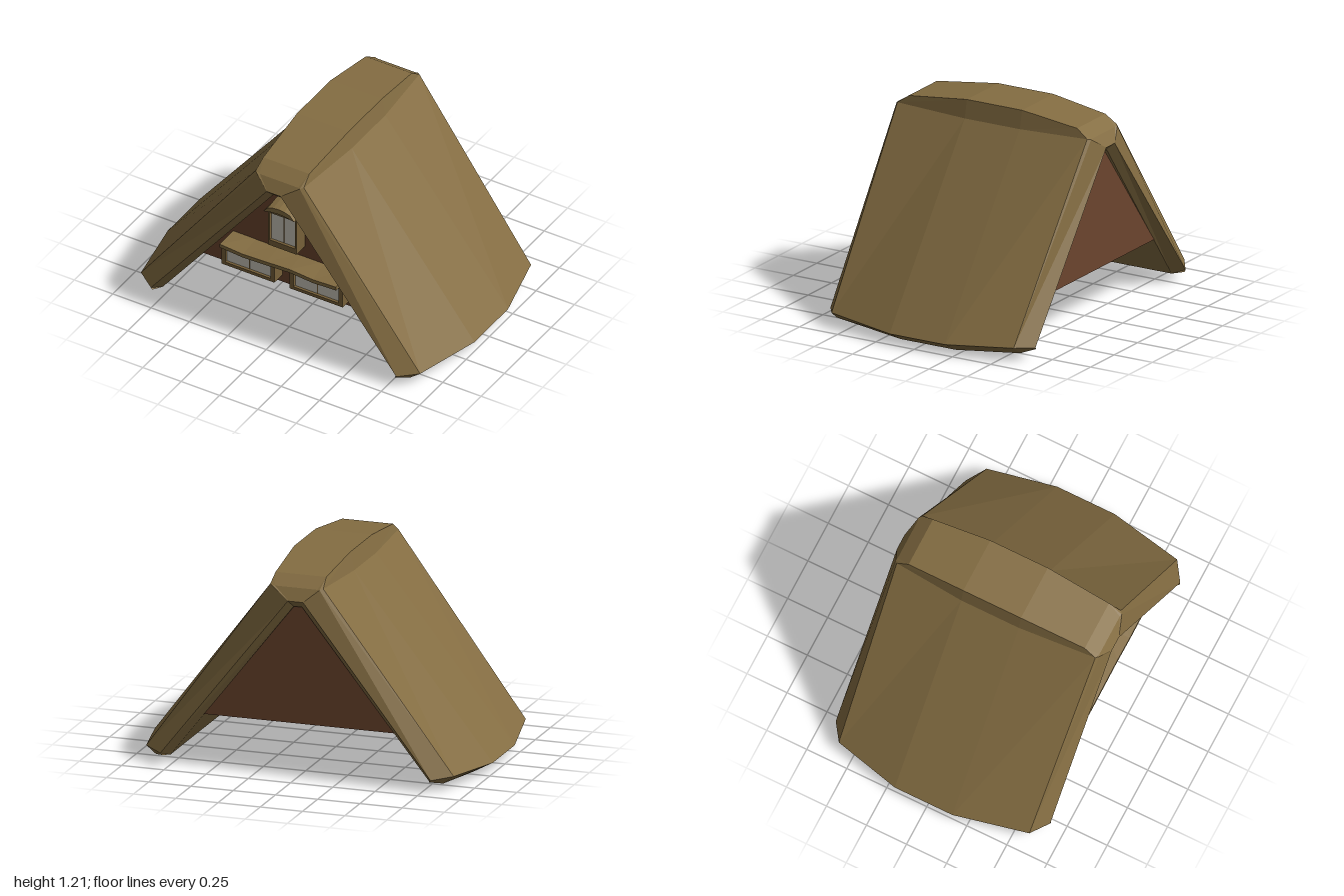
import * as THREE from 'three';

const mat = (name, color) => {
  const m = new THREE.MeshStandardMaterial({ color, flatShading: true });
  m.name = name;
  return m;
};

// Joins closed cross-sections (clockwise seen from +z, ordered back to front)
function loft(sections) {
  const pos = [];
  const n = sections[0].length;
  for (let i = 0; i < sections.length - 1; i++) {
    for (let j = 0; j < n; j++) {
      const k = (j + 1) % n;
      const a = sections[i][j], b = sections[i][k];
      const c = sections[i + 1][k], d = sections[i + 1][j];
      pos.push(...a, ...d, ...c, ...a, ...c, ...b);
    }
  }
  const g = new THREE.BufferGeometry();
  g.setAttribute('position', new THREE.Float32BufferAttribute(pos, 3));
  g.computeVertexNormals();
  return g;
}

// Box with its vertices moved by a rule, faceted
function warpedBox(w, h, d, segments, rule) {
  const g = new THREE.BoxGeometry(w, h, d, segments, 1, 1);
  const p = g.attributes.position;
  const v = new THREE.Vector3();
  for (let i = 0; i < p.count; i++) {
    v.fromBufferAttribute(p, i);
    rule(v);
    p.setXYZ(i, v.x, v.y, v.z);
  }
  const flat = g.toNonIndexed();
  flat.computeVertexNormals();
  return flat;
}

export function createModel() {
  const model = new THREE.Group();
  model.name = 'thatchedGableRoof';
  const thatch = mat('thatch', 0x846d42);
  const wall = mat('redBrownWall', 0x6c452e);
  const timber = mat('windowTimber', 0x776039);
  const glass = mat('paleGlass', 0xcdc9bd);

  const add = (name, geometry, material, x = 0, y = 0, z = 0, parent = model) => {
    const m = new THREE.Mesh(geometry, material);
    m.name = name;
    m.position.set(x, y, z);
    parent.add(m);
    return m;
  };

  // Roof half-sections: cap top, cap foot, outer eave, eave bottom, inner eave, inner apex
  const I = [0.765, 0.045, 0.6], A = [0.025, 0.99, 0.63];
  const O = [0.91, 0.085, 0.595], B = [0.85, 0.04, 0.6];
  const middle = [[0.167, 1.205], [0.19, 1.1], [1, 0.063], [0.885, 0], [0.765, 0.045], [0.025, 0.99]];
  const ends = [
    [[0.15, 1.155, 0.55], [0.157, 1.105, 0.62], O, B, I, A],
    [[0.125, 1.1, 0.63], [0.14, 1.1, 0.635], O, B, I, A],
    [[0.04, 1.03, 0.67], [0.045, 1.03, 0.67], [0.8, 0.07, 0.67], [0.79, 0.06, 0.67], I, A],
    [A, A, I, I, I, A], // closes the end
  ];
  const ring = (half, place) => {
    const side = (s) => half.map(([x, y, z]) => [s * x + (y > 1.05 ? 0.01 : 0), y, place(z)]);
    return [...side(1), ...side(-1).reverse()];
  };
  add('thatchRoof', loft([
    ...[...ends].reverse().map((h) => ring(h, (z) => -z)),
    ring(middle, () => -0.2),
    ring(middle, () => 0.16),
    ...ends.map((h) => ring(h, (z) => z)),
  ]), thatch);

  // Gable walls, front and back
  const gable = new THREE.Shape([
    new THREE.Vector2(-0.57, 0.305), new THREE.Vector2(0.57, 0.305), new THREE.Vector2(0, 1.02),
  ]);
  const gableGeo = new THREE.ExtrudeGeometry(gable, { depth: 0.07, bevelEnabled: false });
  add('frontGableWall', gableGeo, wall, 0, 0, 0.44);
  add('backGableWall', gableGeo, wall, 0, 0, -0.61);

  // Framed window with two panes
  function windowUnit(name, x, y, w, h, border, top, bottom) {
    const group = new THREE.Group();
    group.name = name;
    group.position.set(x, y, 0.5);
    model.add(group);
    const rect = (T, l, b, r, t) => new T([[l, b], [r, b], [r, t], [l, t]].map((p) => new THREE.Vector2(...p)));
    const frame = rect(THREE.Shape, -w / 2, -h / 2, w / 2, h / 2);
    frame.holes.push(rect(THREE.Path, -w / 2 + border, -h / 2 + bottom, w / 2 - border, h / 2 - top));
    add('frame', new THREE.ExtrudeGeometry(frame, { depth: 0.1, bevelEnabled: false }), timber, 0, 0, 0, group);
    const inner = w - 2 * border, ph = h - top - bottom;
    add('mullion', new THREE.BoxGeometry(0.006, ph, 0.08), timber, 0, (bottom - top) / 2, 0.045, group);
    for (const s of [-1, 1]) {
      add('pane', new THREE.BoxGeometry(inner / 2 - 0.004, ph, 0.008), glass,
        s * inner / 4, (bottom - top) / 2, 0.08, group);
    }
  }
  windowUnit('lowerWindowRight', -0.21, 0.42, 0.345, 0.13, 0.026, 0.012, 0.02);
  windowUnit('lowerWindowLeft', 0.235, 0.42, 0.345, 0.13, 0.026, 0.012, 0.02);
  windowUnit('upperWindow', 0.015, 0.735, 0.185, 0.26, 0.01, 0.035, 0.037);

  // Wavy thatch ledge over the lower windows
  add('thatchLedge', warpedBox(0.76, 0.045, 0.15, 5, (v) => {
    if (v.y > 0 && v.z > 0) v.y -= 0.022;
    if (v.z > 0) v.y += 0.007 * Math.sin(v.x * 14 + 1);
    if (v.y > 0 && v.z < 0) v.x *= 0.97;
  }), thatch, 0.01, 0.513, 0.565);

  // Small arched thatch hood over the upper window
  add('thatchHood', warpedBox(0.2, 0.055, 0.15, 4, (v) => {
    const top = v.y > 0;
    v.y -= 1.5 * v.x * v.x;
    if (top && v.z > 0) v.y -= 0.022;
    if (top) v.x *= 0.72;
  }), thatch, 0.015, 0.902, 0.565);

  return model;
}
